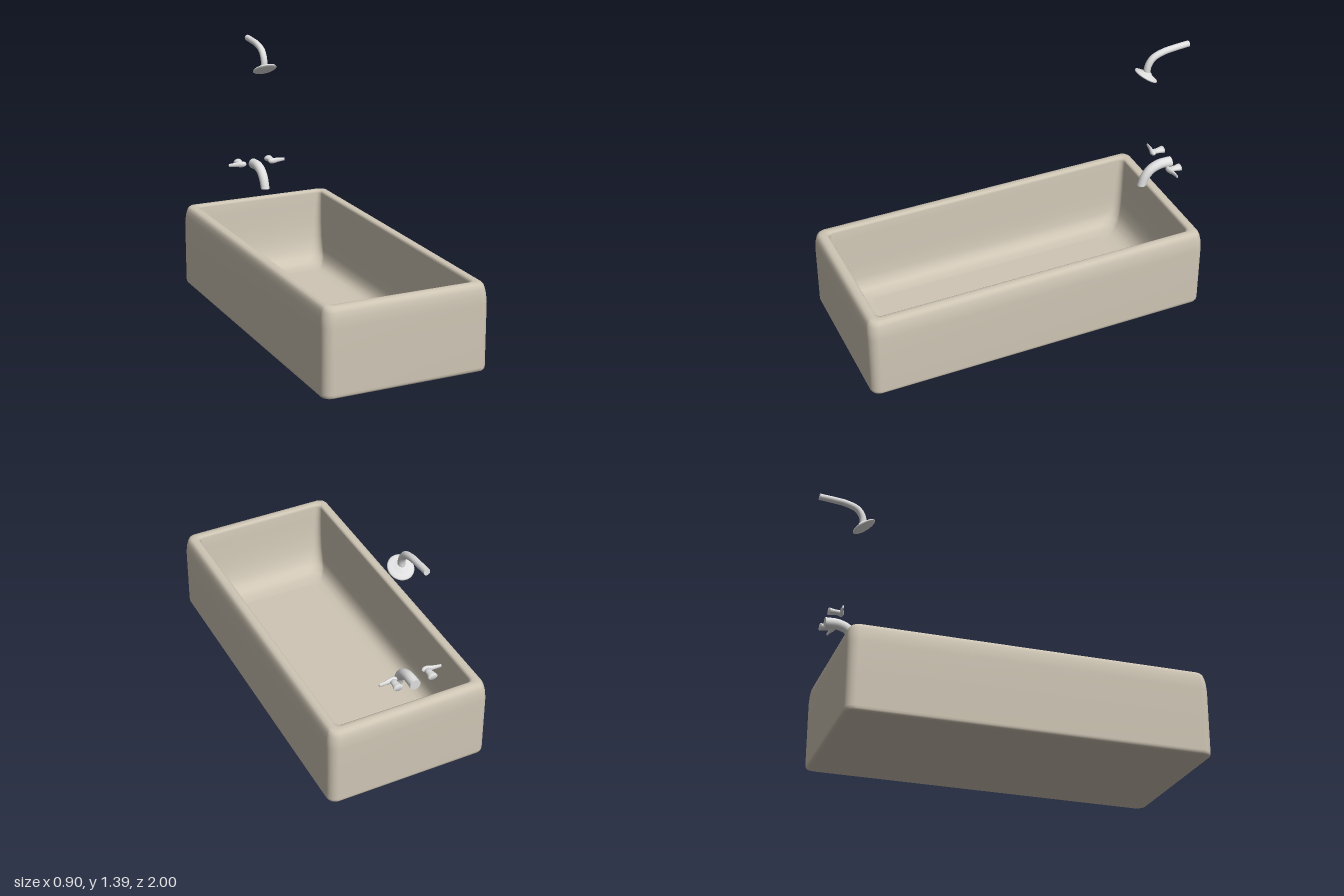
import * as THREE from 'three';

// Skin a list of equal-length closed rings and close both ends with crisp caps.
function loft(rings) {
  const n = rings[0].length, pos = [], idx = [];
  const push = p => pos.push(p.x, p.y, p.z) / 3 - 1;
  rings.forEach(ring => ring.forEach(push));
  for (let i = 0; i < rings.length - 1; i++) {
    for (let j = 0; j < n; j++) {
      const k = (j + 1) % n;
      const a = i * n + j, b = i * n + k, c = a + n, d = b + n;
      idx.push(a, c, b, b, c, d);
    }
  }
  const cap = (ring, flip) => {
    const centre = new THREE.Vector3();
    ring.forEach(p => centre.addScaledVector(p, 1 / n));
    const c = push(centre);
    ring.forEach(push);
    for (let j = 0; j < n; j++) {
      const a = c + 1 + j, b = c + 1 + (j + 1) % n;
      if (flip) idx.push(c, b, a); else idx.push(c, a, b);
    }
  };
  cap(rings[0], false);
  cap(rings[rings.length - 1], true);
  const geo = new THREE.BufferGeometry();
  geo.setAttribute('position', new THREE.Float32BufferAttribute(pos, 3));
  geo.setIndex(idx);
  geo.computeVertexNormals();
  return geo;
}

// Horizontal rounded rectangle.
function roundedRect(hx, hz, r, y, zc) {
  const ring = [], steps = 8;
  const corners = [[1, 1], [-1, 1], [-1, -1], [1, -1]];
  corners.forEach(([sx, sz], q) => {
    for (let s = 0; s <= steps; s++) {
      const a = (q + s / steps) * Math.PI / 2;
      ring.push(new THREE.Vector3(sx * (hx - r) + r * Math.cos(a), y, zc + sz * (hz - r) + r * Math.sin(a)));
    }
  });
  return ring;
}

// Round pipe following [z, y] points in the middle plane.
function pipe(points, r0, r1, endDir) {
  const curve = new THREE.CatmullRomCurve3(points.map(([z, y]) => new THREE.Vector3(0, y, z)));
  const rings = [], steps = 24, sides = 24;
  for (let i = 0; i <= steps; i++) {
    const t = i / steps, p = curve.getPointAt(t), r = r0 + (r1 - r0) * t;
    const d = i === steps && endDir ? endDir : curve.getTangentAt(t);
    const ring = [];
    for (let j = 0; j < sides; j++) {
      const a = j / sides * Math.PI * 2, s = r * Math.sin(a);
      ring.push(new THREE.Vector3(r * Math.cos(a), p.y - d.z * s, p.z + d.y * s));
    }
    rings.push(ring);
  }
  return loft(rings);
}

// Tapered oval lever reaching sideways; side is +1 or -1.
function lever(side) {
  const rows = [ // x, z, half height, half depth
    [0.069, -0.876, 0.003, 0.003], [0.073, -0.875, 0.010, 0.009], [0.082, -0.874, 0.015, 0.013],
    [0.097, -0.874, 0.0165, 0.014], [0.112, -0.876, 0.0155, 0.011], [0.13, -0.880, 0.013, 0.008],
    [0.15, -0.882, 0.011, 0.006], [0.173, -0.884, 0.009, 0.004]
  ];
  return loft(rows.map(([x, z, ry, rz]) => {
    const ring = [];
    for (let j = 0; j < 20; j++) {
      const a = j / 20 * Math.PI * 2;
      ring.push(new THREE.Vector3(side * x, 0.667 + ry * Math.sin(a), z + side * rz * Math.cos(a)));
    }
    return ring;
  }));
}

export function createModel() {
  const model = new THREE.Group();
  model.name = 'bathtubWithShower';
  const enamel = new THREE.MeshStandardMaterial({ color: 0xcfc6b5 });
  enamel.name = 'beige enamel';
  const metal = new THREE.MeshStandardMaterial({ color: 0xe0e0e0 });
  metal.name = 'pale metal';
  const add = (name, geo, mat, parent = model) => {
    const mesh = new THREE.Mesh(geo, mat);
    mesh.name = name;
    parent.add(mesh);
    return mesh;
  };

  // Tub: up the outer wall, over the rim and down steep sides and softer ends to a deep floor.
  const profile = [ // side inset, end inset, y, corner radius
    [0.016, 0.016, 0, 0.04], [0.006, 0.006, 0.004, 0.045], [0.001, 0.001, 0.012, 0.05], [0, 0, 0.024, 0.05],
    [0, 0, 0.2, 0.05], [0, 0, 0.36, 0.05], [0.004, 0.003, 0.405, 0.05], [0.010, 0.008, 0.435, 0.05],
    [0.016, 0.015, 0.451, 0.045], [0.025, 0.025, 0.460, 0.04], [0.042, 0.042, 0.464, 0.035],
    [0.058, 0.058, 0.463, 0.03], [0.066, 0.066, 0.458, 0.03], [0.070, 0.070, 0.448, 0.03],
    [0.073, 0.074, 0.38, 0.032], [0.077, 0.080, 0.28, 0.036], [0.081, 0.090, 0.19, 0.04],
    [0.087, 0.106, 0.12, 0.05], [0.098, 0.128, 0.08, 0.06], [0.12, 0.16, 0.054, 0.06],
    [0.15, 0.20, 0.043, 0.06], [0.19, 0.25, 0.04, 0.05]
  ];
  add('tub', loft(profile.map(([ix, iz, y, r]) =>
    roundedRect(0.452 - ix, 0.957 - iz, r, y, 0.043))), enamel);

  // Spout with a level mouth.
  add('spout', pipe([[-0.937, 0.647], [-0.87, 0.648], [-0.82, 0.630], [-0.785, 0.593], [-0.763, 0.54]],
    0.029, 0.025, new THREE.Vector3(0, -1, 0)), metal);

  // Tap handles: flared oval stem plus lever.
  const stem = [[0, 0], [0.025, 0], [0.024, 0.01], [0.021, 0.022], [0.0185, 0.036], [0.0175, 0.06], [0, 0.066]]
    .map(([r, h]) => new THREE.Vector2(r, h));
  for (const side of [1, -1]) {
    const handle = new THREE.Group();
    handle.name = side > 0 ? 'leftHandle' : 'rightHandle';
    const base = add('handleStem', new THREE.LatheGeometry(stem, 24), metal, handle);
    base.rotation.x = Math.PI / 2;
    base.scale.z = 0.72;
    base.position.set(side * 0.096, 0.667, -0.942);
    add('handleLever', lever(side), metal, handle);
    model.add(handle);
  }

  // Shower arm bending down to the head.
  add('showerArm', pipe([[-1, 1.377], [-0.92, 1.371], [-0.85, 1.362], [-0.79, 1.338], [-0.762, 1.295], [-0.757, 1.245]],
    0.017, 0.019), metal);

  // Shallow domed shower head with a gently convex face, tilted forward.
  const dome = [[0, -0.013], [0.03, -0.011], [0.055, -0.007], [0.065, -0.003], [0.068, 0.001], [0.064, 0.006],
    [0.048, 0.012], [0.03, 0.017], [0.019, 0.026], [0, 0.028]].map(([r, h]) => new THREE.Vector2(r, h));
  const head = add('showerHead', new THREE.LatheGeometry(dome, 36), metal);
  head.position.set(0, 1.24, -0.752);
  head.rotation.x = -0.57;

  return model;
}
